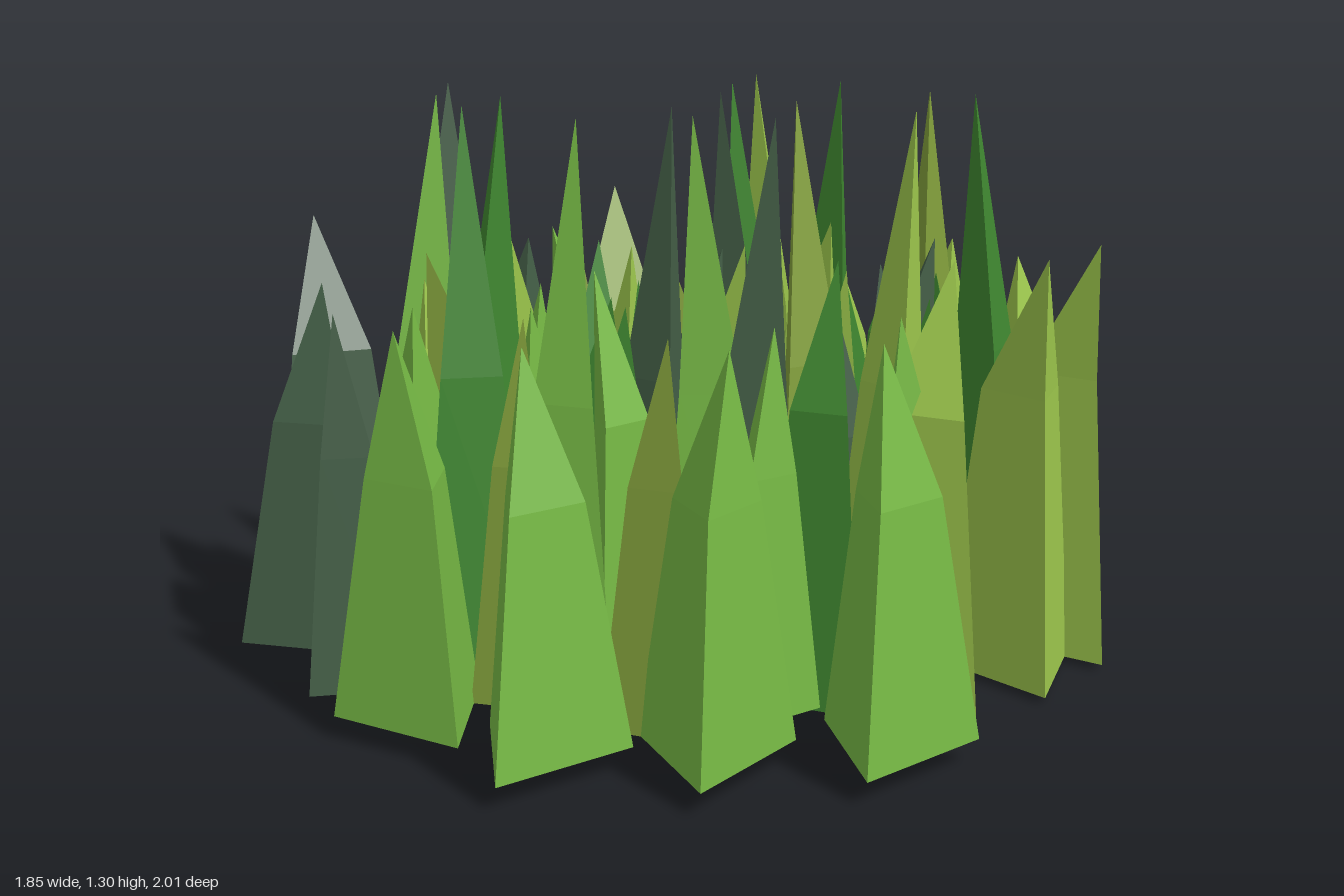
import * as THREE from 'three';

const COLORS = { lime: 0x9cc64c, olive: 0x83a03c, green: 0x77ba45, forest: 0x3f8730, dark: 0x445f47 };
const NAMES = Object.keys(COLORS);

// Blade kinds: tip height and lean, then the middle ring's height, scale and shift (in radii)
const KINDS = {
  tall: { h: 1.3, lean: 0.4, midY: 0.72, mid: 0.52, shift: 0.1 },
  bent: { h: 0.98, lean: 0.6, midY: 0.67, mid: 0.58, shift: 0.05 },
  short: { h: 0.88, lean: 0.2, midY: 0.57, mid: 0.54, shift: 0.03 },
};

// Placed blades: colour, kind, radius, then x, z and lean angle in degrees
const PLACED = [
  ['lime', 'short', 0.2, [[-0.39, -0.79, 55], [-0.01, -0.81, -80], [0.33, -0.76, 180]]],
  ['lime', 'bent', 0.18, [[0.6, -0.58, 17], [0.66, -0.36, 30], [0.66, -0.05, -110]]],
  ['green', 'short', 0.19, [[0.83, 0.24, 180], [0.62, 0.54, -72], [0.38, 0.79, 184], [0.07, 0.86, 133]]],
  ['green', 'short', 0.16, [[-0.16, 0.7, 40], [-0.43, 0.5, -80]]],
  ['dark', 'short', 0.2, [[-0.5, 0.74, -124], [-0.74, 0, -87]]],
  ['dark', 'short', 0.12, [[-0.19, 0.86, 90]]],
  ['dark', 'tall', 0.2, [[-0.6, 0.3, 219]]],
  ['dark', 'bent', 0.19, [[-0.75, 0.56, -160]]],
  ['olive', 'bent', 0.19, [[-0.69, -0.3, -145]]],
  ['olive', 'short', 0.17, [[-0.45, -0.47, 5]]],
  ['forest', 'short', 0.18, [[-0.18, -0.6, 40], [0.12, -0.58, -127], [0.02, 0.33, 0]]],
];

// Tall inner blades: x, z of the tips
const TALL_TIPS = {
  lime: [[-0.33, -0.46], [0.57, -0.08]],
  olive: [[0.27, -0.45], [0.24, -0.05]],
  green: [[-0.42, 0.45], [0.35, 0.35], [0.22, 0.55]],
  forest: [[-0.05, -0.48], [0.4, -0.46], [-0.27, 0.38], [-0.2, -0.26], [-0.15, 0.57]],
  dark: [[0.49, 0.25], [-0.02, -0.06], [0.18, 0.26]],
};

// Three-sided spike: base triangle, narrower middle triangle, leaning tip
function bladeGeometry(base, radius, angle, kind) {
  const ring = (y, scale, shift) => [0, 1, 2].map((i) => {
    const a = angle + (i * Math.PI * 2) / 3;
    return [
      radius * (Math.cos(a) * scale + Math.cos(angle) * shift), y,
      radius * (Math.sin(a) * scale + Math.sin(angle) * shift),
    ];
  });
  const low = ring(base, 1, 0);
  const mid = ring(kind.midY, kind.mid, kind.shift);
  const tip = ring(kind.h, 0, kind.lean)[0];
  const points = [...low];
  for (let i = 0; i < 3; i++) {
    const j = (i + 1) % 3;
    points.push(low[i], mid[i], mid[j], low[i], mid[j], low[j], mid[i], tip, mid[j]);
  }
  const geometry = new THREE.BufferGeometry();
  geometry.setAttribute('position', new THREE.Float32BufferAttribute(points.flat(), 3));
  geometry.computeVertexNormals();
  return geometry;
}

export function createModel() {
  const model = new THREE.Group();
  model.name = 'grassTuft';
  const materials = {};
  for (const name of NAMES) {
    materials[name] = new THREE.MeshStandardMaterial({ color: COLORS[name], flatShading: true });
  }

  function addBlade(color, kindName, x, z, radius, angle) {
    // Front blades start a little higher, the dark green ones at the back lowest
    const base = z > 0.2 ? 0.05 : color === 'forest' && z < -0.55 ? 0 : 0.015;
    const blade = new THREE.Mesh(bladeGeometry(base, radius, angle, KINDS[kindName]), materials[color]);
    blade.name = `${color}${kindName === 'tall' ? 'Tall' : ''}Blade`;
    blade.position.set(x, 0, z);
    model.add(blade);
  }

  // Large blades, mostly around the edge
  for (const [color, kind, radius, blades] of PLACED) {
    for (const [x, z, degrees] of blades) {
      addBlade(color, kind, x, z, radius, THREE.MathUtils.degToRad(degrees));
    }
  }

  // Tall blades, each base set back from its tip
  let turn = 0;
  for (const [color, tips] of Object.entries(TALL_TIPS)) {
    for (const [x, z] of tips) {
      const angle = (turn += 2.4);
      const reach = 0.15 * KINDS.tall.lean;
      addBlade(color, 'tall', x - reach * Math.cos(angle), z - reach * Math.sin(angle), 0.15, angle);
    }
  }

  // Smaller blades filling the middle in a sunflower spiral
  const count = 38;
  for (let i = 0; i < count; i++) {
    const spread = Math.sqrt((i + 0.5) / count);
    const x = 0.03 + 0.62 * spread * Math.cos(i * 2.4);
    const z = 0.04 + 0.65 * spread * Math.sin(i * 2.4);
    addBlade(NAMES[(i * 3) % NAMES.length], i % 3 ? 'short' : 'bent', x, z, 0.12 + 0.01 * (i % 4), i * 1.7);
  }
  return model;
}
